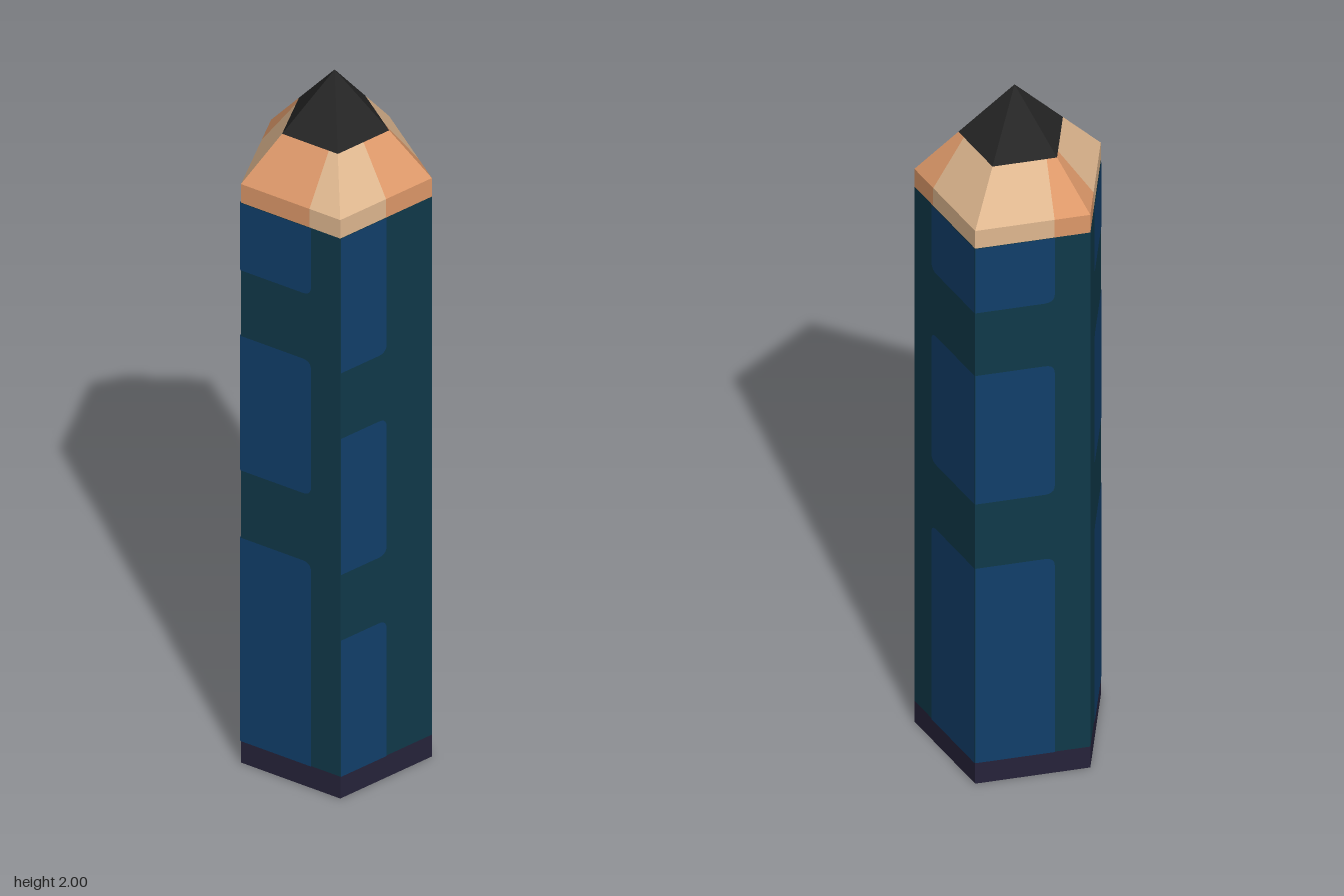
import * as THREE from 'three';

const SIDES = 5, R = 0.247, CZ = 0.022;
const Y = { base: 0.065, paint: 1.665, shoulder: 1.72, lead: 1.843, tip: 2 };
const LEAD_SCALE = (Y.tip - Y.lead) / (Y.tip - Y.shoulder);

const mat = (name, color, double) => {
  const m = new THREE.MeshStandardMaterial({ color });
  m.name = name;
  if (double) m.side = THREE.DoubleSide;
  return m;
};

// Corner i of the pentagon; corner 0 points backwards
function corner(i, y, scale = 1) {
  const a = Math.PI + (i * Math.PI * 2) / SIDES;
  return new THREE.Vector3(Math.sin(a) * R * scale, y, CZ + Math.cos(a) * R * scale);
}

// Point on face i, f running from its left edge to its right edge
const onFace = (i, f, y, scale) => corner(i, y, scale).lerp(corner(i + 1, y, scale), f);

// Five-sided section with flat faces
function section(name, y0, y1, r0, r1, material, open) {
  const g = new THREE.CylinderGeometry(r1, r0, y1 - y0, SIDES, 1, open, Math.PI).toNonIndexed();
  g.computeVertexNormals();
  const mesh = new THREE.Mesh(g, material);
  mesh.name = name;
  mesh.position.set(0, (y0 + y1) / 2, CZ);
  return mesh;
}

// Thin painted patch, rounded on one side and square where it meets a corner
function patch(face, f0, f1, y0, y1, roundRight, material) {
  const a = corner(face, 0), along = corner(face + 1, 0).sub(a);
  const len = along.length(), x0 = f0 * len, x1 = f1 * len, r = 0.025;
  const rb = y0 > Y.base ? r : 0, rt = y1 < Y.paint ? r : 0;
  const s = new THREE.Shape();
  if (roundRight) {
    s.moveTo(x0, y0).lineTo(x1 - rb, y0);
    s.quadraticCurveTo(x1, y0, x1, y0 + rb).lineTo(x1, y1 - rt);
    s.quadraticCurveTo(x1, y1, x1 - rt, y1).lineTo(x0, y1);
  } else {
    s.moveTo(x1, y0).lineTo(x1, y1).lineTo(x0 + rt, y1);
    s.quadraticCurveTo(x0, y1, x0, y1 - rt).lineTo(x0, y0 + rb);
    s.quadraticCurveTo(x0, y0, x0 + rb, y0);
  }
  along.normalize();
  const up = new THREE.Vector3(0, 1, 0), out = along.clone().cross(up);
  const g = new THREE.ShapeGeometry(s, 5);
  g.applyMatrix4(new THREE.Matrix4().makeBasis(along, up, out).setPosition(a.addScaledVector(out, 0.002)));
  const mesh = new THREE.Mesh(g, material);
  mesh.name = 'paintPatch';
  return mesh;
}

// Strip of sharpened wood: upright rim plus the slope up to the lead
function woodStrip(face, f0, f1, material) {
  // the stripe keeps its distance from the middle of the face as the face narrows
  const squeeze = (f) => THREE.MathUtils.clamp(0.5 + (f - 0.5) / LEAD_SCALE, 0, 1);
  const row = (y, s, a, b) => [onFace(face, a, y, s), onFace(face, b, y, s)];
  const rows = [
    row(Y.paint, 1, f0, f1),
    row(Y.shoulder, 1, f0, f1),
    row(Y.lead, LEAD_SCALE, squeeze(f0), squeeze(f1)),
  ];
  const pts = [];
  for (let k = 0; k < 2; k++) {
    const [a, b] = rows[k], [d, c] = rows[k + 1];
    pts.push(a, b, c, a, c, d);
  }
  const g = new THREE.BufferGeometry().setFromPoints(pts);
  g.computeVertexNormals();
  const mesh = new THREE.Mesh(g, material);
  mesh.name = 'woodStrip';
  return mesh;
}

export function createModel() {
  const teal = mat('teal paint', 0x10394a);
  const blue = mat('blue paint', 0x113f6b, true);
  const tan = mat('pale wood', 0xe0b890, true);
  const orange = mat('orange wood', 0xde996a, true);
  const black = mat('lead', 0x252525);
  const purple = mat('dark end', 0x26233a);

  const model = new THREE.Group();
  model.name = 'pencil';
  model.add(
    section('endBand', 0, Y.base, R, R, purple, false),
    section('shaft', Y.base, Y.paint, R, R, teal, true),
    section('leadTip', Y.lead, Y.tip, R * LEAD_SCALE, 0, black, true),
  );

  // Wood stripes: where each face changes colour
  const wood = new THREE.Group();
  wood.name = 'sharpenedWood';
  [
    [orange, 0.31, tan], // back, left half
    [orange, 0.69, tan], // left
    [tan, 0.5, orange], // front
    [orange, 0.31, tan], // right
    [tan, 0.69, orange], // back, right half
  ].forEach(([m0, f, m1], i) => wood.add(woodStrip(i, 0, f, m0), woodStrip(i, f, 1, m1)));
  model.add(wood);

  // Blue patches, the front ones staggered against the rest
  const patches = new THREE.Group();
  patches.name = 'paintPatches';
  const sideRows = [[Y.base, 0.67], [0.87, 1.27], [1.465, Y.paint]];
  const frontRows = [[Y.base, 0.47], [0.665, 1.07], [1.265, Y.paint]];
  for (const [y0, y1] of sideRows) {
    patches.add(
      patch(0, 0.31, 1, y0, y1, false, blue),
      patch(1, 0, 0.71, y0, y1, true, blue),
      patch(3, 0.29, 1, y0, y1, false, blue),
      patch(4, 0, 0.69, y0, y1, true, blue),
    );
  }
  for (const [y0, y1] of frontRows) patches.add(patch(2, 0, 0.5, y0, y1, true, blue));
  model.add(patches);
  return model;
}
